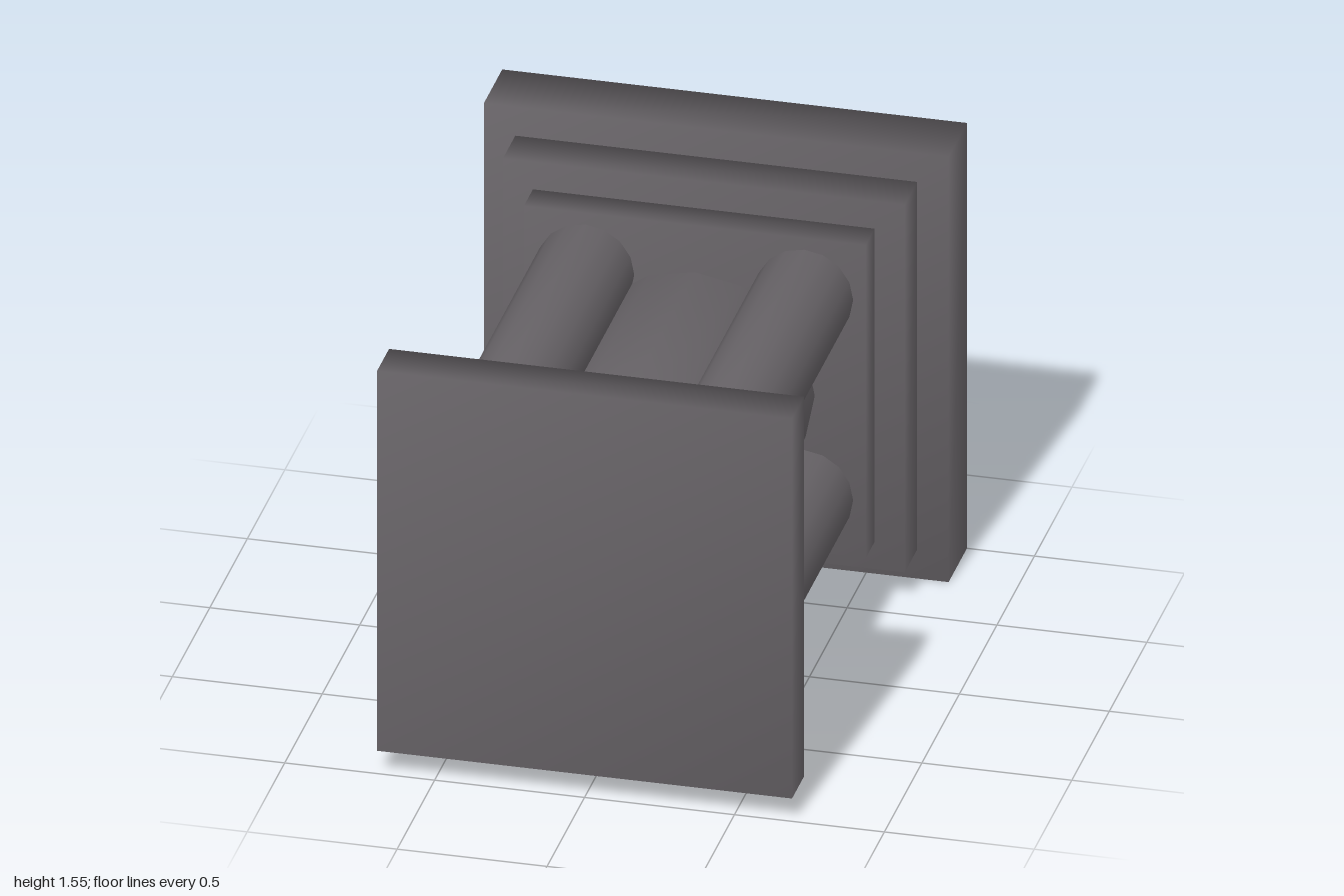
import * as THREE from 'three';
import { mergeVertices } from 'three/addons/utils/BufferGeometryUtils.js';

const CENTRE_Y = 0.775;

// Weld all corners so the shading runs smoothly over the edges.
function smooth(geometry) {
  geometry.deleteAttribute('normal');
  geometry.deleteAttribute('uv');
  const welded = mergeVertices(geometry, 1e-4);
  welded.computeVertexNormals();
  return welded;
}

export function createModel() {
  const group = new THREE.Group();
  group.name = 'columnBlock';
  const material = new THREE.MeshStandardMaterial({ color: 0x666266 });

  const add = (name, geometry, x, y, z) => {
    const mesh = new THREE.Mesh(smooth(geometry), material);
    mesh.name = name;
    mesh.position.set(x, CENTRE_Y + y, z);
    group.add(mesh);
  };

  // Square slab between two depths
  const plate = (name, half, z0, z1) =>
    add(name, new THREE.BoxGeometry(half * 2, half * 2, z1 - z0), 0, 0, (z0 + z1) / 2);

  // Round column running front to back between the inner plates
  const column = (name, radius, sides, x, y) => {
    const z0 = -0.47, z1 = 0.755;
    const geometry = new THREE.CylinderGeometry(radius, radius, z1 - z0, sides);
    geometry.rotateX(Math.PI / 2);
    add(name, geometry, x, y, (z0 + z1) / 2);
  };

  // Stepped base at the back
  plate('backPlate', 0.775, -1, -0.755);
  plate('backMiddleStep', 0.67, -0.755, -0.59);
  plate('backInnerStep', 0.57, -0.59, -0.47);

  // Stepped cap at the front
  plate('frontInnerStep', 0.57, 0.755, 0.84);
  plate('frontPlate', 0.692, 0.84, 1);

  // Thick core with four slim columns around it
  column('coreColumn', 0.4, 16, 0, 0);
  for (const [side, sx] of [['left', 1], ['right', -1]]) {
    for (const [level, sy] of [['Upper', 1], ['Lower', -1]]) {
      column(`${side}${level}Column`, 0.163, 16, sx * 0.365, sy * 0.365);
    }
  }

  return group;
}
